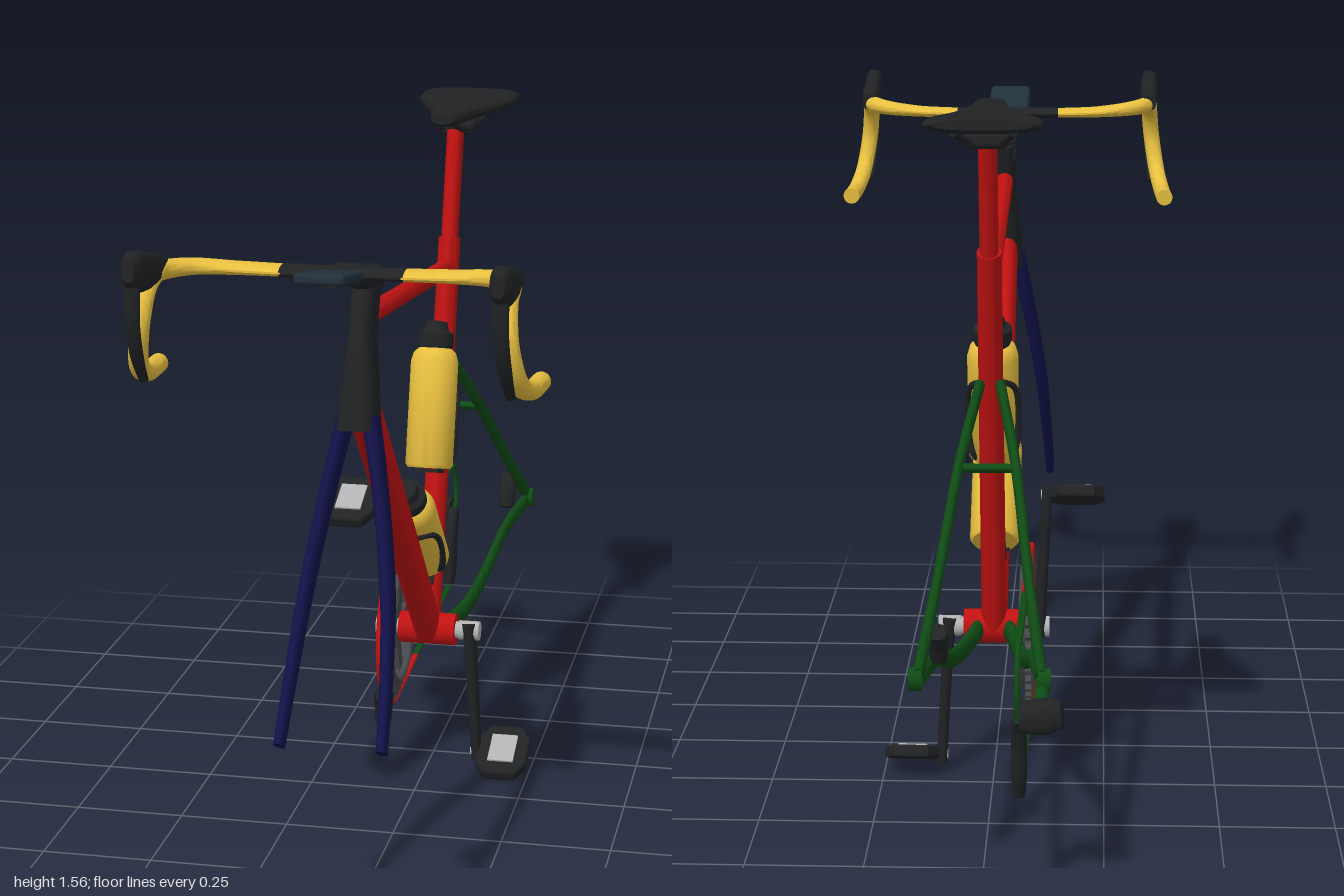
import * as THREE from 'three';
import { toCreasedNormals } from 'three/addons/utils/BufferGeometryUtils.js';
import { RoundedBoxGeometry } from 'three/addons/geometries/RoundedBoxGeometry.js';

const paint = (color) => new THREE.MeshStandardMaterial({ color, side: THREE.DoubleSide });
const V = (x, y, z) => new THREE.Vector3(x, y, z);
const X = V(1, 0, 0), Y = V(0, 1, 0);

// Sweeps an oval section along [x, y, z, halfWidth, halfHeight] points.
// halfWidth lies along ref; power below 1 makes the section boxier.
function sweep(rows, { ref = X, power = 1, sides = 18, steps = 8 } = {}) {
  const curve = new THREE.CatmullRomCurve3(rows.map((r) => V(r[0], r[1], r[2])));
  const n = rows.length === 2 ? 1 : (rows.length - 1) * steps;
  const pos = [], index = [];
  for (let i = 0; i <= n; i++) {
    const t = i / n, f = t * (rows.length - 1);
    const k = Math.min(Math.floor(f), rows.length - 2);
    const w = THREE.MathUtils.lerp(rows[k][3], rows[k + 1][3], f - k);
    const h = THREE.MathUtils.lerp(rows[k][4], rows[k + 1][4], f - k);
    const c = curve.getPoint(t), T = curve.getTangent(t);
    const S = ref.clone().addScaledVector(T, -ref.dot(T)).normalize();
    const B = T.clone().cross(S);
    for (let j = 0; j < sides; j++) {
      const a = (j / sides) * Math.PI * 2, co = Math.cos(a), si = Math.sin(a);
      const p = c.clone()
        .addScaledVector(S, w * Math.sign(co) * Math.abs(co) ** power)
        .addScaledVector(B, h * Math.sign(si) * Math.abs(si) ** power);
      pos.push(p.x, p.y, p.z);
    }
  }
  const first = pos.length / 3, base = n * sides;
  pos.push(...rows[0].slice(0, 3), ...rows[rows.length - 1].slice(0, 3));
  for (let j = 0; j < sides; j++) {
    const q = (j + 1) % sides;
    for (let i = 0; i < n; i++) {
      const a = i * sides + j, b = i * sides + q;
      index.push(a, b, a + sides, b, b + sides, a + sides);
    }
    index.push(first, q, j, first + 1, base + j, base + q);
  }
  const g = new THREE.BufferGeometry();
  g.setAttribute('position', new THREE.Float32BufferAttribute(pos, 3));
  g.setIndex(index);
  return toCreasedNormals(g, 0.7);
}

// Same radius all along the path
const rod = (points, r, opts) => sweep(points.map((p) => [...p, r, r]), opts);
const mirrorRows = (rows, s) => rows.map(([x, ...rest]) => [x * s, ...rest]);

export function createModel() {
  const model = new THREE.Group();
  const red = paint(0xc01212), yellow = paint(0xe8c040), navy = paint(0x12124a);
  const green = paint(0x0f4a14), black = paint(0x202224), grey = paint(0x48494c);
  const silver = paint(0xb0b2b4), slate = paint(0x22303a);
  const add = (name, geometry, material, parent = model) => {
    const m = new THREE.Mesh(geometry, material);
    m.name = name;
    parent.add(m);
    return m;
  };
  const axle = (r, len) => new THREE.CylinderGeometry(r, r, len, 24).rotateZ(Math.PI / 2);

  // Main frame
  add('seatTube', sweep([[0, 0.35, -0.177, 0.028, 0.037], [0, 1.25, -0.44, 0.026, 0.036]]), red);
  add('seatPost', sweep([[0, 1.2, -0.426, 0.02, 0.032], [0, 1.495, -0.515, 0.02, 0.032]]), red);
  add('topTube', rod([[0, 1.27, 0.47], [0, 1.185, -0.41]], 0.021), red);
  add('downTube', sweep([[0, 1.1, 0.55, 0.03, 0.048], [0, 0.36, -0.17, 0.03, 0.044]], { power: 0.8 }), red);
  add('bottomBracket', axle(0.038, 0.135).translate(0, 0.352, -0.177), red);
  add('headTube', sweep([[0, 1.05, 0.59, 0.044, 0.06], [0, 1.13, 0.57, 0.038, 0.062],
    [0, 1.24, 0.54, 0.026, 0.056], [0, 1.37, 0.495, 0.027, 0.053]], { power: 0.7 }), black);

  // Stem and cycle computer
  add('stem', sweep([[0, 1.345, 0.46, 0.028, 0.028], [0, 1.365, 0.55, 0.028, 0.026],
    [0, 1.405, 0.69, 0.034, 0.018]], { power: 0.6 }), black);
  const computer = add('cycleComputer', new RoundedBoxGeometry(0.1, 0.024, 0.19, 3, 0.01), slate);
  computer.position.set(0, 1.425, 0.845);
  computer.rotation.x = -0.17;
  add('computerMount', sweep([[0, 1.405, 0.7, 0.02, 0.008], [0, 1.412, 0.84, 0.02, 0.008]]), black);
  add('barCentre', sweep([[-0.125, 1.408, 0.715, 0.012, 0.036], [0.125, 1.408, 0.715, 0.012, 0.036]], { ref: Y }), black);

  // Handlebar halves, hoods, levers, fork legs and stays
  for (const s of [-1, 1]) {
    const side = s > 0 ? 'left' : 'right';
    const part = (name, rows, mat, opts) => add(side + name, sweep(mirrorRows(rows, s), opts), mat);
    part('BarTop', [[0.12, 1.408, 0.715, 0.011, 0.036], [0.22, 1.41, 0.72, 0.013, 0.034],
      [0.3, 1.415, 0.745, 0.017, 0.026], [0.343, 1.418, 0.8, 0.02, 0.021], [0.353, 1.42, 0.85, 0.021, 0.021]],
      yellow, { ref: Y });
    part('BarDrop', [[0.353, 1.418, 0.83, 0.02, 0.02], [0.355, 1.395, 0.885, 0.02, 0.02],
      [0.362, 1.325, 0.912, 0.02, 0.02], [0.375, 1.245, 0.88, 0.02, 0.02],
      [0.386, 1.207, 0.79, 0.02, 0.02], [0.392, 1.2, 0.69, 0.02, 0.02]], yellow);
    part('BrakeHood', [[0.352, 1.425, 0.79, 0.018, 0.02], [0.353, 1.43, 0.86, 0.022, 0.034],
      [0.354, 1.44, 0.93, 0.022, 0.04], [0.355, 1.452, 0.975, 0.021, 0.038], [0.355, 1.455, 0.998, 0.012, 0.022]],
      black, { power: 0.8 });
    part('BrakeLever', [[0.355, 1.43, 0.975, 0.017, 0.012], [0.357, 1.35, 0.972, 0.015, 0.007],
      [0.36, 1.275, 0.94, 0.014, 0.006], [0.363, 1.215, 0.89, 0.01, 0.005]], black);
    part('ForkLeg', [[0.026, 1.08, 0.588, 0.018, 0.04], [0.052, 0.95, 0.628, 0.016, 0.038],
      [0.083, 0.76, 0.7, 0.015, 0.034], [0.098, 0.6, 0.785, 0.013, 0.029], [0.106, 0.46, 0.873, 0.011, 0.025]],
      navy, { power: 0.85 });
    part('SeatStay', [[0.022, 0.955, -0.385, 0.011, 0.018], [0.058, 0.82, -0.53, 0.011, 0.017],
      [0.092, 0.63, -0.74, 0.011, 0.017], [0.122, 0.48, -0.905, 0.012, 0.02]], green);
    part('ChainStay', [[0.035, 0.35, -0.2, 0.015, 0.024], [0.06, 0.35, -0.34, 0.014, 0.023],
      [0.078, 0.38, -0.5, 0.012, 0.02], [0.1, 0.445, -0.7, 0.011, 0.019], [0.124, 0.465, -0.91, 0.012, 0.02]], green);
    add(side + 'Dropout', axle(0.024, 0.026).translate(s * 0.128, 0.47, -0.905), green);
  }
  add('seatStayBridge', rod([[-0.06, 0.81, -0.54], [0.06, 0.81, -0.54]], 0.01, { ref: Y }), green);

  // Disc brake calipers on the left side
  add('frontCaliper', sweep([[0.09, 0.55, 0.785, 0.014, 0.014], [0.085, 0.535, 0.75, 0.02, 0.018],
    [0.08, 0.475, 0.733, 0.016, 0.016]], { power: 0.7 }), black);
  add('rearCaliper', sweep([[0.088, 0.545, -0.835, 0.018, 0.018], [0.088, 0.52, -0.81, 0.022, 0.022],
    [0.088, 0.475, -0.79, 0.018, 0.016]], { power: 0.7 }), black);

  // Saddle with rails and clamp
  add('saddle', sweep([[0, 1.548, -0.34, 0.025, 0.01], [0, 1.545, -0.37, 0.034, 0.018],
    [0, 1.543, -0.47, 0.047, 0.02], [0, 1.542, -0.57, 0.08, 0.02],
    [0, 1.546, -0.67, 0.118, 0.02], [0, 1.55, -0.74, 0.12, 0.017], [0, 1.553, -0.767, 0.098, 0.01]],
    { power: 0.75, sides: 28 }), black);
  for (const s of [-1, 1])
    add('saddleRail', rod(mirrorRows([[0.015, 1.53, -0.39], [0.03, 1.505, -0.48], [0.035, 1.5, -0.6],
      [0.06, 1.53, -0.71]], s), 0.007, { sides: 10 }), black);
  add('saddleClamp', new RoundedBoxGeometry(0.09, 0.035, 0.09, 2, 0.012).translate(0, 1.502, -0.555), black);

  // Toothed chainring with open windows between five arms
  const ring = new THREE.Shape(), teeth = 40;
  for (let i = 0; i < teeth * 4; i++) {
    const a = (i / (teeth * 4)) * Math.PI * 2, r = i % 4 < 2 ? 0.18 : 0.169;
    ring[i ? 'lineTo' : 'moveTo'](r * Math.cos(a), r * Math.sin(a));
  }
  for (let i = 0; i < 5; i++) {
    const a = (i * Math.PI * 2) / 5, hole = new THREE.Path();
    hole.absarc(0, 0, 0.122, a + 0.15, a + 1.1, false);
    hole.absarc(0, 0, 0.055, a + 0.95, a + 0.3, true);
    hole.closePath();
    ring.holes.push(hole);
  }
  add('chainring', new THREE.ExtrudeGeometry(ring, { depth: 0.014, bevelEnabled: false, curveSegments: 16 })
    .rotateY(Math.PI / 2).translate(-0.088, 0.352, -0.177), grey);
  add('innerChainring', new THREE.TorusGeometry(0.132, 0.01, 8, 48)
    .rotateY(Math.PI / 2).translate(-0.068, 0.352, -0.177), grey);

  // Chain: front wrap, upper and lower runs, rear guide
  const wrap = [];
  for (let i = 0; i <= 12; i++) {
    const a = Math.PI / 2 - (i / 12) * Math.PI;
    wrap.push([-0.081, 0.352 + 0.184 * Math.sin(a), -0.177 + 0.184 * Math.cos(a), 0.009, 0.006]);
  }
  add('chainWrap', sweep(wrap, { sides: 8, steps: 4 }), red);
  const run = (name, a, b, mat) => add(name, sweep([[...a, 0.008, 0.005], [...b, 0.008, 0.005]], { sides: 8 }), mat);
  run('upperChainFront', [-0.081, 0.536, -0.177], [-0.08, 0.54, -0.54], red);
  run('upperChainRear', [-0.08, 0.54, -0.54], [-0.076, 0.545, -0.9], green);
  run('lowerChainFront', [-0.081, 0.168, -0.177], [-0.08, 0.188, -0.42], red);
  run('lowerChainRear', [-0.08, 0.188, -0.42], [-0.078, 0.22, -0.87], green);
  add('rearChain', rod([[-0.076, 0.545, -0.9], [-0.076, 0.53, -0.945], [-0.076, 0.46, -0.97],
    [-0.078, 0.39, -0.95]], 0.006, { sides: 8 }), green);

  // Rear derailleur
  add('derailleurBody', sweep([[-0.085, 0.41, -0.955, 0.03, 0.03], [-0.13, 0.415, -0.962, 0.036, 0.03],
    [-0.165, 0.42, -0.965, 0.026, 0.022]], { ref: Y, power: 0.7 }), black);
  add('derailleurHanger', rod([[-0.125, 0.47, -0.905], [-0.12, 0.42, -0.955]], 0.014), green);
  add('derailleurCage', sweep([[-0.078, 0.41, -0.945, 0.014, 0.02], [-0.078, 0.375, -0.915, 0.016, 0.03],
    [-0.078, 0.27, -0.89, 0.016, 0.03], [-0.078, 0.225, -0.88, 0.013, 0.024]], { power: 0.7 }), black);

  // Cranks and pedals, opposite each other
  const oct = new THREE.Shape([[-0.055, -0.04], [-0.035, -0.075], [0.035, -0.075], [0.055, -0.04],
    [0.055, 0.04], [0.035, 0.075], [-0.035, 0.075], [-0.055, 0.04]].map((p) => new THREE.Vector2(...p)));
  const pedalBody = new THREE.ExtrudeGeometry(oct, { depth: 0.016, bevelSize: 0.006, bevelThickness: 0.006, bevelSegments: 2 })
    .translate(0, 0, -0.008).rotateX(-Math.PI / 2);
  for (const s of [-1, 1]) {
    const side = s > 0 ? 'left' : 'right', y = (d) => 0.352 - s * d;
    add(side + 'Crank', sweep([[s * 0.1, y(-0.02), -0.177, 0.016, 0.03], [s * 0.105, y(0.06), -0.177, 0.013, 0.028],
      [s * 0.113, y(0.2), -0.178, 0.012, 0.022], [s * 0.119, y(0.325), -0.18, 0.012, 0.018]], { power: 0.7 }), black);
    add(side + 'CrankCap', axle(0.023, 0.05).translate(s * 0.1, 0.352, -0.177), silver);
    add(side + 'PedalAxle', axle(0.012, 0.05).translate(s * 0.13, y(0.306), -0.177), silver);
    const pedal = new THREE.Group();
    pedal.name = side + 'Pedal';
    add('pedalBody', pedalBody, black, pedal);
    add('pedalPlate', new THREE.BoxGeometry(0.062, 0.006, 0.09).translate(0, 0.015, 0), silver, pedal);
    pedal.position.set(s * 0.185, y(0.306), -0.172);
    pedal.rotation.x = 0.38;
    model.add(pedal);
  }
  add('crankAxle', axle(0.02, 0.2).translate(0, 0.352, -0.177), silver);

  // Bottles and cages, upright along local y with the frame tube on local -z
  const profile = (rows) => new THREE.LatheGeometry(rows.map((p) => new THREE.Vector2(...p)), 28);
  const bottleBody = toCreasedNormals(profile([[0, 0], [0.05, 0], [0.056, 0.008], [0.056, 0.25], [0.05, 0.272], [0.036, 0.285], [0, 0.285]]), 0.8);
  const bottleCap = toCreasedNormals(profile([[0.038, 0.28], [0.042, 0.29], [0.042, 0.318], [0.03, 0.325], [0.024, 0.345], [0, 0.348]]), 0.6);
  const bottle = (name, from, tilt, flip) => {
    const g = new THREE.Group(), holder = new THREE.Group();
    g.name = name;
    holder.name = 'bottleCage';
    add('bottleBody', bottleBody, yellow, g);
    add('bottleCap', bottleCap, black, g);
    for (const s of [-1, 1])
      add('cageArm', sweep([[s * 0.02, -0.006, -0.03, 0.008, 0.006], [s * 0.046, 0.03, -0.038, 0.008, 0.007],
        [s * 0.054, 0.1, -0.022, 0.007, 0.007], [s * 0.048, 0.19, -0.034, 0.007, 0.007],
        [s * 0.014, 0.22, -0.06, 0.007, 0.007]], { sides: 8 }), black, holder);
    add('cageSpine', new THREE.BoxGeometry(0.03, 0.22, 0.012).translate(0, 0.11, -0.063), black, holder);
    add('cageBase', new THREE.BoxGeometry(0.05, 0.008, 0.09).translate(0, -0.006, -0.02), black, holder);
    holder.rotation.y = flip ? Math.PI : 0;
    g.add(holder);
    g.position.set(0, ...from);
    g.rotation.x = tilt;
    model.add(g);
  };
  bottle('seatTubeBottle', [0.75, -0.18], -0.286, false);
  bottle('downTubeBottle', [0.54, -0.145], 0.8, true);
  return model;
}
